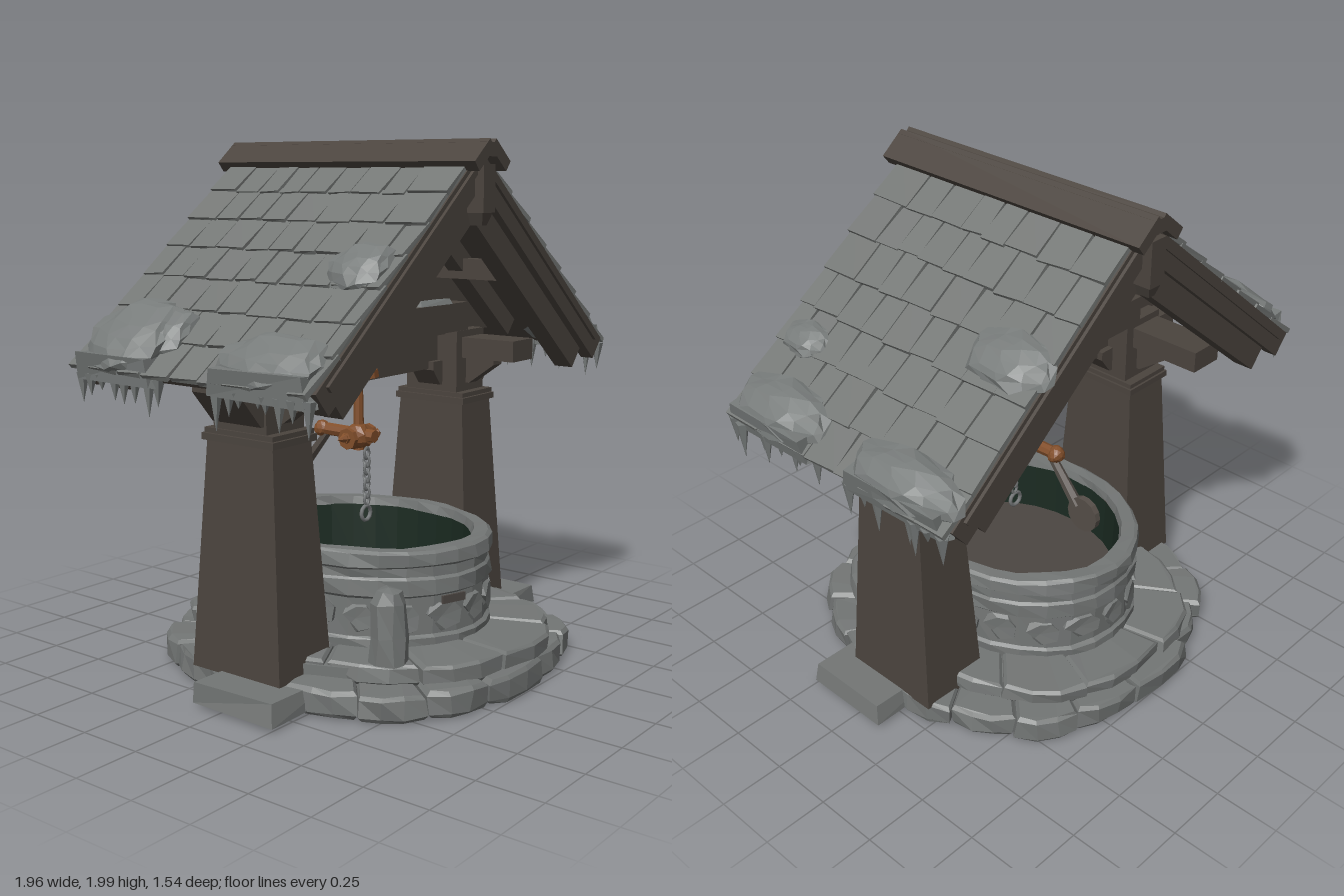
import * as THREE from 'three';

const mat = (name, color) => Object.assign(new THREE.MeshStandardMaterial({ color }), { name });
const V = (x, y, z) => new THREE.Vector3(x, y, z);

// Small seeded random source
let seed = 7;
const rnd = (a = 0, b = 1) => {
  seed = (seed * 16807) % 2147483647;
  return a + (b - a) * (seed / 2147483647);
};

// Nudge vertices by a rule on their position, then make every facet flat
function rough(geo, amount = 0) {
  const g = geo.index ? geo.toNonIndexed() : geo;
  const p = g.attributes.position;
  const wave = (x, y, z, k) => Math.sin(x * 37.1 * k + y * 51.7 + z * 29.3 + k * 2.1) * amount;
  for (let i = 0; i < p.count; i++) {
    const x = p.getX(i), y = p.getY(i), z = p.getZ(i);
    p.setXYZ(i, x + wave(x, y, z, 1), y + wave(y, z, x, 1.3) * 0.6, z + wave(z, x, y, 0.8));
  }
  g.computeVertexNormals();
  return g;
}

// Four-sided block tapering from a bottom rectangle to a top one
function taper(w0, d0, w1, d1, h) {
  const g = new THREE.BoxGeometry(1, h, 1);
  const p = g.attributes.position;
  for (let i = 0; i < p.count; i++) {
    const top = p.getY(i) > 0;
    p.setX(i, p.getX(i) * (top ? w1 : w0));
    p.setZ(i, p.getZ(i) * (top ? d1 : d0));
  }
  return rough(g);
}

// Flat shape from corner points, extruded along z and centred
function slab(points, depth) {
  const shape = new THREE.Shape(points.map(p => new THREE.Vector2(...p)));
  return new THREE.ExtrudeGeometry(shape, { depth, bevelEnabled: false }).translate(0, 0, -depth / 2);
}

export function createModel() {
  const root = new THREE.Group();
  root.name = 'coveredWell';
  const stone = mat('stone', 0x737675), shingle = mat('shingle', 0x747775), snow = mat('frost', 0x777b7a);
  const wood = mat('darkWood', 0x4b443e), rust = mat('rustyIron', 0x824f2b), iron = mat('darkIron', 0x554e48);
  const chain = mat('chainSteel', 0x777a7b), moss = mat('mossyLining', 0x1a2a21);
  const floor = mat('wellFloor', 0x4c4642), under = mat('underside', 0x757575);

  const group = (name, parent = root) => {
    const g = new THREE.Group();
    g.name = name;
    parent.add(g);
    return g;
  };
  const put = (parent, name, geo, m, x = 0, y = 0, z = 0) => {
    const o = new THREE.Mesh(geo, m);
    o.name = name;
    o.position.set(x, y, z);
    parent.add(o);
    return o;
  };
  const box = (parent, name, m, w, h, d, x, y, z) => put(parent, name, new THREE.BoxGeometry(w, h, d), m, x, y, z);
  // Round bar between two points, optionally tapering
  const bar = (parent, name, m, a, b, r0, r1, sides = 8) => {
    const o = put(parent, name, rough(new THREE.CylinderGeometry(r1, r0, a.distanceTo(b), sides)), m);
    o.position.copy(a).add(b).multiplyScalar(0.5);
    o.quaternion.setFromUnitVectors(V(0, 1, 0), b.clone().sub(a).normalize());
    return o;
  };

  // Stone platform: two rings of irregular slabs on a slightly squared oval
  const base = group('platform');
  const full = v => Math.sign(v) * Math.abs(v) ** 0.85;
  const ring = (name, n, rx, rz, inner, y, h) => {
    for (let i = 0; i < n; i++) {
      const a0 = (i + 0.01) / n * Math.PI * 2, a1 = (i + 0.99) / n * Math.PI * 2, k = rnd(0.945, 1);
      const pts = [];
      for (let j = 0; j <= 3; j++) {
        const a = a0 + (a1 - a0) * j / 3, q = k * (j % 3 ? 1 : 0.98);
        pts.push(new THREE.Vector2(full(Math.cos(a)) * rx * q, -full(Math.sin(a)) * rz * q));
      }
      for (const a of [a1, a0]) pts.push(new THREE.Vector2(Math.cos(a) * inner, -Math.sin(a) * inner));
      const g = new THREE.ExtrudeGeometry(new THREE.Shape(pts), {
        depth: h * rnd(0.6, 0.75), bevelEnabled: true, bevelThickness: h * 0.15, bevelSize: 0.012, bevelOffset: -0.012, bevelSegments: 1 });
      g.rotateX(-Math.PI / 2);
      put(base, name, rough(g, 0.006), stone, 0, y + h * 0.15, 0);
    }
  };
  ring('lowerSlab', 17, 0.745, 0.775, 0.45, 0.01, 0.1);
  ring('upperSlab', 11, 0.61, 0.735, 0.25, 0.095, 0.075);
  put(base, 'platformCore', new THREE.CylinderGeometry(0.62, 0.62, 0.12, 24), stone, 0, 0.09, 0);
  put(base, 'platformUnderside', new THREE.CylinderGeometry(0.68, 0.68, 0.03, 24), under, 0, 0.02, 0);
  for (const s of [-1, 1]) {
    put(base, 'postFooting', rough(taper(0.4, 0.37, 0.39, 0.36, 0.07), 0.008), stone, s * 0.665, 0.06, 0.07);
  }
  const bollard = [[0, 0], [0.072, 0], [0.068, 0.1], [0.062, 0.22], [0.05, 0.262], [0, 0.275]];
  put(root, 'bollard', rough(new THREE.LatheGeometry(bollard.map(p => new THREE.Vector2(...p)), 8), 0.006), stone, -0.42, 0.165, 0.42);

  // Oval well wall with banded rim, lining and floor
  const well = group('well');
  well.position.z = -0.02;
  well.scale.z = 1.22;
  const lathe = pts => new THREE.LatheGeometry(pts.map(p => new THREE.Vector2(...p)), 28);
  put(well, 'wellWall', rough(lathe([[0.43, 0.15], [0.432, 0.195], [0.42, 0.205], [0.42, 0.35], [0.43, 0.36], [0.43, 0.415],
    [0.422, 0.425], [0.424, 0.46], [0.437, 0.47], [0.433, 0.515], [0.42, 0.525], [0.375, 0.525], [0.368, 0.49]]), 0.004), stone);
  put(well, 'wellLining', rough(lathe([[0.368, 0.492], [0.36, 0.27]])), moss);
  put(well, 'wellFloor', new THREE.CylinderGeometry(0.362, 0.362, 0.02, 28), floor, 0, 0.28, 0);
  for (let i = 0; i < 18; i++) {
    const a = i / 18 * Math.PI * 2;
    const o = put(well, 'wallStone', rough(new THREE.CylinderGeometry(0.75, 1, 1, 7).rotateX(Math.PI / 2), 0.2), stone,
      Math.sin(a) * 0.418, 0.28 + rnd(-0.015, 0.015), Math.cos(a) * 0.418);
    o.scale.set(rnd(0.055, 0.085), rnd(0.05, 0.07), 0.016);
    o.rotation.set(0, a, 0);
  }
  // Dark stains on the wall
  for (const [a, y, w, h] of [[-0.27, 0.335, 0.1, 0.03], [1.0, 0.305, 0.035, 0.018], [1.0, 0.28, 0.014, 0.045], [-2.3, 0.31, 0.07, 0.035]]) {
    box(well, 'wallStain', floor, w, h, 0.008, Math.sin(a) * 0.429, y, Math.cos(a) * 0.429).rotation.y = a;
  }

  // Posts with collars, heads and triangular brackets
  const frame = group('timberFrame');
  const bracket = (parent, name, reach, h, width, angle, x, y, z) => {
    const g = slab([[-0.02, 0], [0.02, 0], [reach, h * 0.65], [reach, h], [-0.02, h]], width);
    put(parent, name, g, wood, x, y, z).rotation.y = angle;
  };
  for (const s of [-1, 1]) {
    const post = group(s > 0 ? 'leftPost' : 'rightPost', frame);
    post.position.set(s * 0.585, 0, -0.04);
    put(post, 'postShaft', taper(0.285, 0.42, 0.205, 0.31, 0.86), wood, 0, 0.52, 0);
    box(post, 'postCollar', wood, 0.235, 0.025, 0.34, 0, 0.95, 0);
    box(post, 'postCollarTop', wood, 0.22, 0.018, 0.325, 0, 0.973, 0);
    box(post, 'postHead', wood, 0.2, 0.27, 0.25, 0, 1.1, 0);
    for (const f of [-1, 1]) {
      bracket(post, 'sideBracket', 0.14, 0.13, 0.06, -f * Math.PI / 2, 0, 1.015, f * 0.12);
      const outer = f === s;
      bracket(post, 'crossBracket', outer ? 0.12 : 0.07, outer ? 0.18 : 0.1, outer ? 0.23 : 0.11, f > 0 ? 0 : Math.PI, f * 0.095, 1.01, 0);
    }
    box(frame, 'wallPlate', wood, 0.15, 0.085, 0.8, s * 0.6, 1.165, -0.07);
    box(frame, 'sidePurlin', wood, 0.08, 0.08, 1.0, s * 0.42, 1.5, -0.055);
  }
  box(frame, 'tieBeam', wood, 1.25, 0.17, 0.06, 0, 1.165, -0.04);
  box(frame, 'ridgeBeam', wood, 0.1, 0.12, 1.0, 0, 1.82, -0.055);

  // Gable wall with flanking beams, nailed board and frosted ledge
  put(frame, 'gableWall', slab([[-0.8, 1.22], [0.8, 1.22], [0, 1.87]], 0.14), wood, 0, 0, -0.04);
  for (const f of [-1, 1]) {
    box(frame, 'flankingBeam', wood, 1.06, 0.115, 0.08, 0, 1.298, -0.04 + f * 0.11);
    const z = -0.04 + f * 0.09;
    box(frame, 'gableBoard', wood, 0.44, 0.13, 0.04, -0.015, 1.46, z).rotation.z = -0.02;
    for (const [x, w] of [[-0.28, 0.33], [0.3, 0.2]]) {
      put(frame, 'ledgeFrost', rough(taper(w, 0.07, w * 0.9, 0.05, 0.022), 0.006), snow, x, 1.365, -0.04 + f * 0.12);
    }
  }

  // Roof slopes: local x runs down the slope, local y is the slope normal
  const roof = group('roof');
  const pitch = 0.687;
  for (const s of [-1, 1]) {
    const slope = group(s > 0 ? 'leftSlope' : 'rightSlope', roof);
    slope.position.set(0, 1.945, -0.055);
    slope.rotation.z = -s * pitch;
    box(slope, 'roofDeck', wood, 1.19, 0.035, 1.08, s * 0.595, -0.015, 0);
    for (const f of [-1, 1]) {
      box(slope, 'bargeBoard', wood, 1.19, 0.1, 0.055, s * 0.595, -0.041, f * 0.535);
      box(slope, 'bargeTrim', wood, 1.14, 0.025, 0.02, s * 0.57, -0.02, f * 0.565);
      box(slope, 'endRafter', wood, 1.12, 0.1, 0.08, s * 0.56, -0.135, f * 0.49);
      box(slope, 'innerRafter', wood, 1.02, 0.08, 0.07, s * 0.52, -0.07, f * 0.2);
    }
    for (let r = 0; r < 7; r++) {
      let z = -0.56;
      while (z < 0.55) {
        let w = rnd(0.1, 0.155);
        if (z + w > 0.5) w = 0.56 - z;
        const o = put(slope, 'shingle', rough(new THREE.BoxGeometry(0.185 + rnd(-0.012, 0.012), 0.022, w - 0.006), 0.003), shingle,
          s * (0.165 + r * 0.16), 0.014 + rnd(0, 0.006), z + w / 2);
        o.rotation.set(0, rnd(-0.04, 0.04), s * 0.07);
        z += w;
      }
    }
    box(slope, s > 0 ? 'ridgeCapLeft' : 'ridgeCapRight', wood, 0.125, 0.045, 1.22, s * 0.046, 0.028, 0);
  }
  box(roof, 'ridgePole', wood, 0.07, 0.05, 1.22, 0, 1.957, -0.055);
  for (const z of [0.495, -0.605]) {
    box(roof, 'ridgeStub', wood, 0.075, 0.17, 0.1, -0.005, 1.82, z);
    put(roof, 'ridgeStubTip', taper(0.03, 0.06, 0.07, 0.09, 0.05), wood, -0.005, 1.715, z);
  }

  // Frost mounds on the slopes: x, y, z, length down slope, thickness, width
  const frost = group('roofFrost');
  const mounds = [
    [-0.83, 1.31, -0.39, 0.17, 0.07, 0.2], [-0.79, 1.32, -0.25, 0.11, 0.06, 0.1], [-0.86, 1.27, 0.28, 0.12, 0.065, 0.23],
    [0.885, 1.26, -0.36, 0.1, 0.07, 0.25], [0.875, 1.26, 0.28, 0.11, 0.07, 0.23], [0.67, 1.42, 0.38, 0.07, 0.04, 0.11],
    [-0.5, 1.56, 0.36, 0.11, 0.06, 0.13], [0.49, 1.57, -0.45, 0.11, 0.05, 0.18]];
  for (const [x, y, z, l, t, w] of mounds) {
    const o = put(frost, 'frostMound', rough(new THREE.IcosahedronGeometry(1, 2), 0.1), snow, x, y, z);
    o.scale.set(l, t, w);
    o.rotation.z = -Math.sign(x) * pitch;
    if (Math.abs(x) < 0.82) continue;
    // Draped lip and icicles along the eave
    const ex = Math.sign(x) * 0.925;
    put(frost, 'frostLip', rough(taper(0.04, w * 1.85, 0.09, w * 1.7, 0.1), 0.008), snow, ex, 1.2, z);
    for (let i = 0; i < 8; i++) {
      const h = rnd(0.05, 0.15);
      const c = put(frost, 'icicle', rough(new THREE.ConeGeometry(0.025, h, 5)), snow,
        ex + rnd(-0.025, 0.025), 1.175 - h / 2, z + (i / 7 - 0.5) * w * 1.8);
      c.rotation.x = Math.PI;
    }
  }

  // Hanging mechanism: ceiling plate, stem, cross valve, chain and paddle
  const gear = group('hangingMechanism');
  gear.position.set(-0.015, 0, -0.035);
  put(gear, 'ceilingPlate', rough(new THREE.CylinderGeometry(0.075, 0.08, 0.03, 10)), rust, 0, 1.112, 0);
  put(gear, 'plateNeck', rough(new THREE.CylinderGeometry(0.06, 0.022, 0.025, 8)), rust, 0, 1.088, 0);
  bar(gear, 'stem', rust, V(0, 0.81, 0), V(0, 1.09, 0), 0.023, 0.017);
  bar(gear, 'crossPipe', rust, V(-0.09, 0.865, 0), V(0.1, 0.857, 0), 0.019, 0.019);
  put(gear, 'hub', rough(new THREE.IcosahedronGeometry(0.055, 1), 0.008), rust, 0, 0.865, 0);
  for (const x of [-0.065, 0.06]) {
    put(gear, 'pipeFlange', rough(new THREE.CylinderGeometry(0.042, 0.042, 0.02, 8).rotateZ(Math.PI / 2)), rust, x, 0.862, 0);
  }
  put(gear, 'pipeTip', rough(new THREE.ConeGeometry(0.022, 0.05, 6).rotateZ(Math.PI / 2)), rust, -0.105, 0.866, 0);
  put(gear, 'pipeKnob', rough(new THREE.IcosahedronGeometry(0.022, 0)), rust, 0.11, 0.857, 0);
  bar(gear, 'backPipe', rust, V(0, 0.87, 0.08), V(0, 0.875, -0.185), 0.025, 0.025);
  put(gear, 'backJoint', rough(new THREE.IcosahedronGeometry(0.036, 1), 0.004), rust, 0, 0.875, -0.18);
  bar(gear, 'paddleArm', iron, V(0, 0.86, -0.155), V(0, 0.69, -0.295), 0.017, 0.024, 6);
  put(gear, 'paddle', rough(new THREE.CylinderGeometry(0.072, 0.072, 0.025, 14).rotateZ(Math.PI / 2)), iron, 0, 0.668, -0.328);
  for (let i = 0; i < 7; i++) {
    const link = put(gear, 'chainLink', new THREE.TorusGeometry(0.015, 0.006, 5, 8), chain, 0, 0.8 - i * 0.031, 0.04);
    link.scale.y = 1.4;
    link.rotation.y = i % 2 * Math.PI / 2;
  }
  put(gear, 'chainRing', new THREE.TorusGeometry(0.029, 0.008, 6, 10), chain, -0.005, 0.562, 0.04);
  return root;
}
